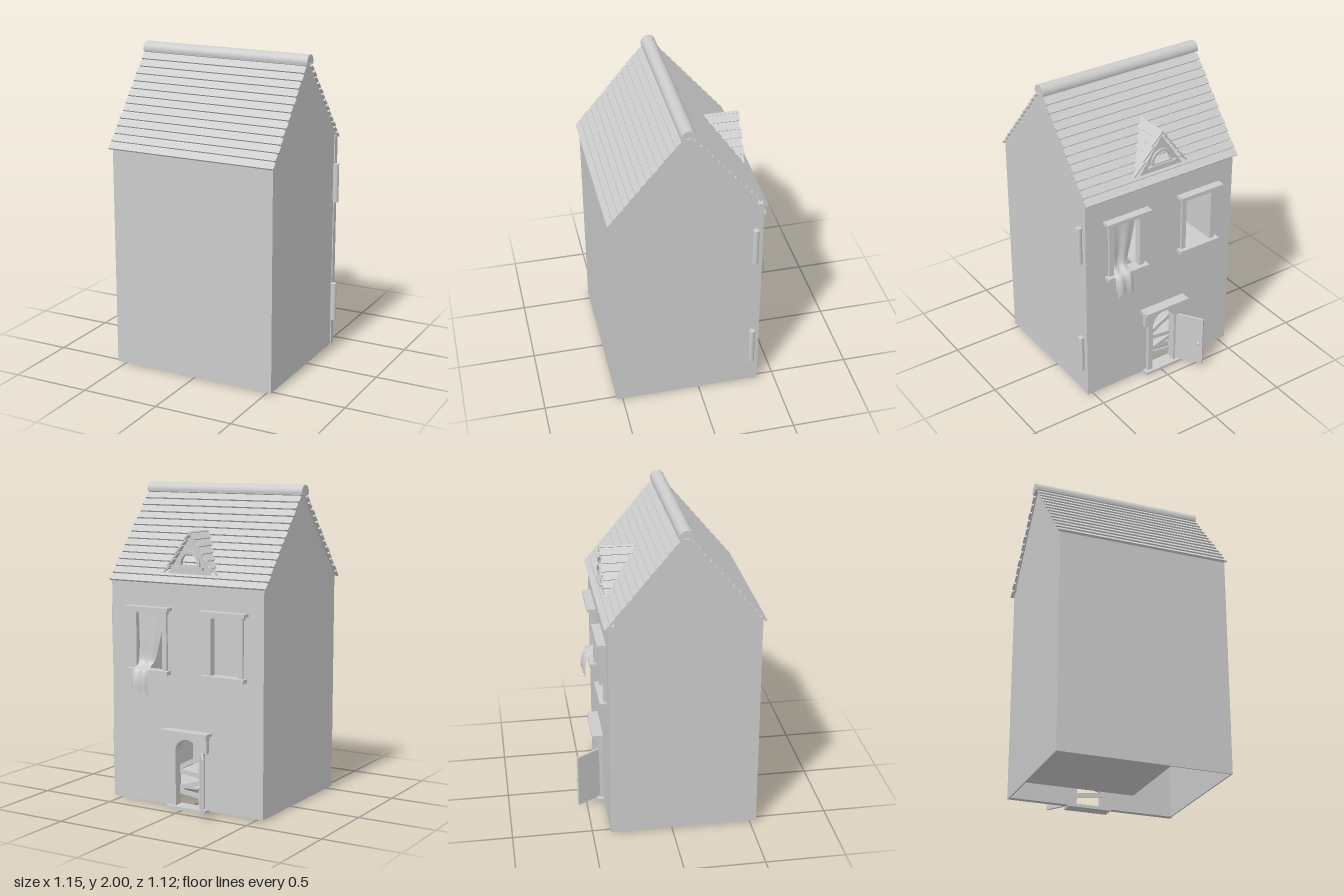
import * as THREE from 'three';

const grey = new THREE.MeshStandardMaterial({ color: 0xcccccc });
const cloth = new THREE.MeshStandardMaterial({ color: 0xcccccc, side: THREE.DoubleSide });

const RIDGE_Y = 1.975, RIDGE_Z = 0.075, SLOPE = 1.2, MID_X = -0.0125;
const PITCH = Math.atan(SLOPE);

function add(parent, name, geometry, x = 0, y = 0, z = 0, material = grey) {
  const mesh = new THREE.Mesh(geometry, material);
  mesh.name = name;
  mesh.position.set(x, y, z);
  parent.add(mesh);
  return mesh;
}

// Box given by its ranges along each axis
function block(parent, name, [x0, x1], [y0, y1], [z0, z1]) {
  return add(parent, name, new THREE.BoxGeometry(x1 - x0, y1 - y0, z1 - z0),
    (x0 + x1) / 2, (y0 + y1) / 2, (z0 + z1) / 2);
}

const polygon = (pts) => new THREE.Shape(pts.map(([x, y]) => new THREE.Vector2(x, y)));

function plate(shape, depth) {
  return new THREE.ExtrudeGeometry(shape, { depth, bevelEnabled: false, curveSegments: 16 });
}

// Opening with a round head: bottom y0, springing line y1
function archPath(x, y0, y1, r, Type = THREE.Path) {
  const p = new Type();
  p.moveTo(x - r, y0);
  p.lineTo(x + r, y0);
  p.lineTo(x + r, y1);
  p.absarc(x, y1, r, 0, Math.PI, false);
  p.lineTo(x - r, y0);
  return p;
}

function buildBody(house) {
  const body = new THREE.Group();
  body.name = 'body';
  house.add(body);
  block(body, 'frontWall', [-0.55, 0.535], [0.01, 1.41], [0.531, 0.54]);
  // Gable ends, drawn in z-y and turned to face sideways
  const gable = polygon([[-0.54, 0.01], [0.348, 0.01], [0.348, 1.455], [-RIDGE_Z, 1.96], [-0.54, 1.41]]);
  for (const x of [-0.55, 0.526]) {
    add(body, 'gableWall', plate(gable, 0.009), x, 0, 0).rotation.y = Math.PI / 2;
  }
  // Floors stop short of one gable, leaving a stairwell: height and inner end
  for (const [y, end] of [[0.12, 0.27], [0.68, 0.03], [1.36, 0.527]]) {
    block(body, 'floor', [-0.542, end], [y, y + 0.015], [-0.348, 0.532]);
  }
}

function buildBackPanel(house) {
  const panel = new THREE.Group();
  panel.name = 'hingedBackPanel';
  house.add(panel);
  const shape = polygon([[-0.55, 0.01], [0.541, 0.01], [0.541, 1.42], [-0.55, 1.42]]);
  for (const x of [0.255, -0.285]) {
    shape.holes.push(polygon([[x - 0.1, 0.86], [x + 0.1, 0.86], [x + 0.1, 1.225], [x - 0.1, 1.225]]));
  }
  shape.holes.push(archPath(-0.025, 0.02, 0.36, 0.085));
  add(panel, 'backWall', plate(shape, 0.038), 0, 0, -0.386);
  for (const y of [0.315, 1.115]) {
    add(panel, 'hinge', new THREE.CylinderGeometry(0.019, 0.019, 0.25, 20), 0.556, y, -0.338);
  }
}

function buildWindow(house, x) {
  const win = new THREE.Group();
  win.name = 'window';
  win.position.x = x;
  house.add(win);
  block(win, 'lintel', [-0.16, 0.16], [1.235, 1.255], [-0.44, -0.38]);
  block(win, 'lintelMoulding', [-0.14, 0.14], [1.215, 1.235], [-0.42, -0.38]);
  block(win, 'sill', [-0.15, 0.15], [0.838, 0.862], [-0.43, -0.38]);
  for (const s of [-1, 1]) {
    block(win, 'windowPost', s < 0 ? [-0.128, -0.095] : [0.095, 0.128], [0.86, 1.217], [-0.402, -0.36]);
  }
}

function buildDoorway(house) {
  const door = new THREE.Group();
  door.name = 'doorway';
  house.add(door);
  const cx = -0.025;
  block(door, 'doorStep', [cx - 0.14, cx + 0.14], [0, 0.02], [-0.43, -0.34]);
  for (const s of [-1, 1]) {
    const x = cx + s * 0.1;
    block(door, 'doorPost', [x - 0.017, x + 0.017], [0.02, 0.38], [-0.41, -0.37]);
  }
  // Frieze with an arched lower edge
  const frieze = new THREE.Shape();
  frieze.moveTo(cx - 0.145, 0.375);
  frieze.lineTo(cx - 0.083, 0.375);
  frieze.absarc(cx, 0.365, 0.083, Math.PI - 0.12, 0.12, true);
  frieze.lineTo(cx + 0.145, 0.375);
  frieze.lineTo(cx + 0.145, 0.475);
  frieze.lineTo(cx - 0.145, 0.475);
  add(door, 'doorFrieze', plate(frieze, 0.035), 0, 0, -0.415);
  block(door, 'corniceMoulding', [cx - 0.15, cx + 0.15], [0.465, 0.485], [-0.435, -0.38]);
  block(door, 'cornice', [cx - 0.165, cx + 0.165], [0.483, 0.503], [-0.455, -0.38]);
  // Planks nailed across the opening: height and tilt
  for (const [y, tilt] of [[0.09, 0.12], [0.15, -0.3], [0.22, 0.1], [0.3, -0.5]]) {
    add(door, 'plank', new THREE.BoxGeometry(0.2, 0.028, 0.01), cx, y, -0.355).rotation.z = tilt;
  }
  // Open leaf with a knob on its outer face
  const leaf = new THREE.Group();
  leaf.name = 'doorLeaf';
  leaf.position.set(-0.125, 0.03, -0.4);
  leaf.rotation.y = Math.atan2(0.16, -0.108);
  door.add(leaf);
  block(leaf, 'doorBoard', [0, 0.192], [0, 0.35], [-0.007, 0.007]);
  add(leaf, 'doorKnob', new THREE.SphereGeometry(0.011, 16, 12), 0.17, 0.17, 0.024);
  add(leaf, 'knobStem', new THREE.CylinderGeometry(0.004, 0.004, 0.025, 8), 0.17, 0.17, 0.012).rotation.x = Math.PI / 2;
}

function buildRoof(house) {
  const roof = new THREE.Group();
  roof.name = 'roof';
  house.add(roof);
  const length = 0.745, rows = 14, step = length / rows;
  for (const s of [1, -1]) {
    // Places a board at distance d down the slope and height h above it
    const place = (mesh, d, h, tilt) => {
      mesh.position.set(MID_X, RIDGE_Y - d * Math.sin(PITCH) + h * Math.cos(PITCH),
        RIDGE_Z + s * (d * Math.cos(PITCH) + h * Math.sin(PITCH)));
      mesh.rotation.x = s * (PITCH - tilt);
    };
    place(add(roof, 'roofSheet', new THREE.BoxGeometry(1.09, 0.01, length - 0.01)), length / 2 - 0.005, -0.004, 0);
    for (let i = 0; i < rows; i++) {
      const board = add(roof, 'roofBoard', new THREE.BoxGeometry(1.115, 0.012, step * 0.84));
      place(board, (i + 0.57) * step, 0.002, 0.14);
      board.position.x += (i % 3 - 1) * 0.002;
    }
  }
  // Rounded ridge cap, cut off flat just below its middle
  const cap = new THREE.CylinderGeometry(0.045, 0.045, 1.125, 32, 1, false, -0.25, Math.PI + 0.5);
  add(roof, 'ridgeCap', cap, MID_X, 1.955, RIDGE_Z).rotation.z = Math.PI / 2;
  block(roof, 'ridgeCapBase', [-0.574, 0.549], [1.94, 1.946], [RIDGE_Z - 0.043, RIDGE_Z + 0.043]);
}

function buildDormer(house) {
  const dormer = new THREE.Group();
  dormer.name = 'dormer';
  dormer.position.x = -0.02;
  house.add(dormer);
  const face = polygon([[-0.165, 1.45], [0.165, 1.45], [0, 1.69]]);
  face.holes.push(archPath(0, 1.515, 1.53, 0.065));
  add(dormer, 'dormerFace', plate(face, 0.02), 0, 0, -0.362);
  const ring = archPath(0, 1.505, 1.53, 0.075, THREE.Shape);
  ring.holes.push(archPath(0, 1.52, 1.53, 0.058));
  add(dormer, 'dormerWindowFrame', plate(ring, 0.025), 0, 0, -0.374);
  block(dormer, 'dormerSill', [-0.1, 0.095], [1.492, 1.51], [-0.382, -0.34]);
  // Lapped boards, cut off where they run into the main roof
  const half = 0.185, drop = 0.25, count = 6;
  const angle = Math.atan2(drop, half), step = Math.hypot(half, drop) / count;
  for (const s of [1, -1]) {
    for (let i = 0; i < count; i++) {
      const t = (i + 0.5) / count;
      const y = 1.718 - t * drop;
      const back = RIDGE_Z - (RIDGE_Y - y) / SLOPE + 0.005;
      const front = i % 2 ? -0.362 : -0.37;
      const board = add(dormer, 'dormerBoard', new THREE.BoxGeometry(step + 0.012, 0.01, back - front),
        s * t * half, y, (back + front) / 2);
      board.rotation.z = -s * (angle - 0.16);
    }
  }
}

// Torn curtain that falls inside the window and spills over the sill
function buildCurtain(house) {
  const path = new THREE.CatmullRomCurve3([
    [0.255, 1.22, -0.365], [0.27, 1.05, -0.37], [0.29, 0.91, -0.378], [0.295, 0.878, -0.405],
    [0.298, 0.862, -0.435], [0.3, 0.8, -0.455], [0.3, 0.67, -0.45],
  ].map((p) => new THREE.Vector3(...p)));
  const cols = 36, rows = 40;
  const geometry = new THREE.PlaneGeometry(1, 1, cols, rows);
  const pos = geometry.attributes.position;
  for (let i = 0; i < pos.count; i++) {
    const u = pos.getX(i) * 2, v = 0.5 - pos.getY(i);
    // Ragged hem, felt only near the lower end
    const torn = (0.09 * Math.abs(Math.sin(u * 3.4 + 0.6)) + 0.03 * (u + 1)) * v ** 5;
    const p = path.getPoint(v - torn);
    const spill = THREE.MathUtils.smoothstep(v, 0.45, 0.7);
    const width = 0.05 + 0.048 * Math.max(0, 1 - v * 2.2) ** 1.5 + 0.012 * spill;
    const fold = (0.004 + 0.003 * v) * Math.sin(u * 5 + v * 2);
    const droop = 0.018 * spill * (1 - u * u);
    pos.setXYZ(i, p.x + u * width, p.y, p.z + fold - droop + 0.008 * spill);
  }
  geometry.computeVertexNormals();
  add(house, 'curtain', geometry, 0, 0, 0, cloth);
}

export function createModel() {
  const house = new THREE.Group();
  house.name = 'house';
  buildBody(house);
  buildBackPanel(house);
  for (const x of [0.255, -0.285]) buildWindow(house, x);
  buildDoorway(house);
  buildRoof(house);
  buildDormer(house);
  buildCurtain(house);
  return house;
}
